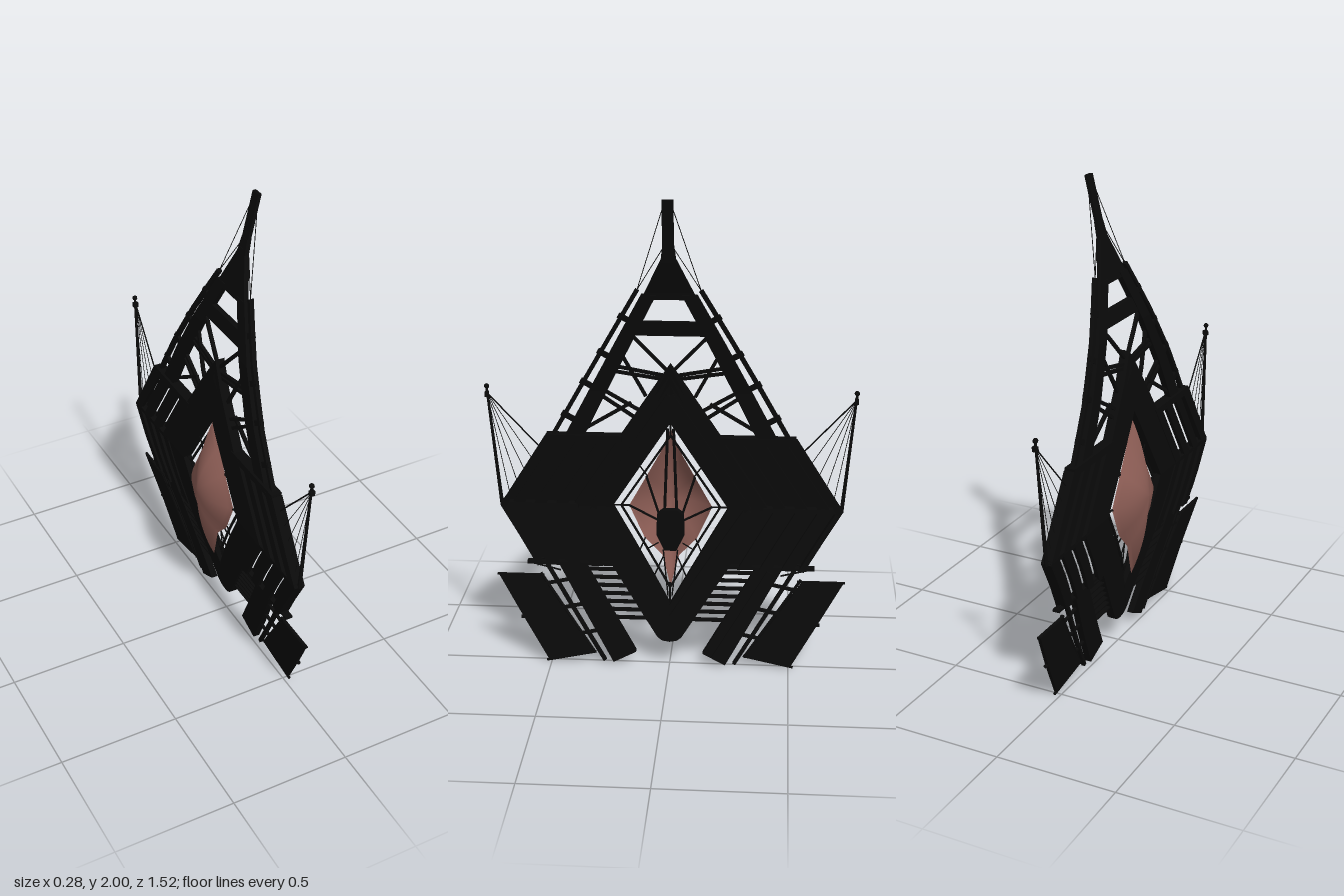
import * as THREE from 'three';

const dark = new THREE.MeshStandardMaterial({ color: 0x0a0a0a, flatShading: true });
const sailMat = new THREE.MeshStandardMaterial({ color: 0x8c5d55, side: THREE.DoubleSide });

// Bowed profile of the whole structure: depth x for a height y
const bow = [[0, 0.022], [0.2, -0.002], [0.4, -0.034], [0.55, -0.052], [0.7, -0.06], [1, -0.056],
  [1.2, -0.045], [1.4, -0.018], [1.6, 0.027], [1.75, 0.068], [2, 0.128]];
function depth(y) {
  let i = 0;
  while (i < bow.length - 2 && y > bow[i + 1][0]) i++;
  const [y0, x0] = bow[i], [y1, x1] = bow[i + 1];
  return x0 + (x1 - x0) * (y - y0) / (y1 - y0);
}

export function createModel() {
  const root = new THREE.Group();
  const mix = (a, b, t) => a + (b - a) * t;

  function add(name, geo, mat = dark) {
    const m = new THREE.Mesh(geo, mat);
    m.name = name;
    root.add(m);
    return m;
  }

  // Four-cornered plate given as [z, y] corners, bent along the bow
  function plate(name, a, b, c, d, t = 0.03, off = 0) {
    const q = [a, b, c, d];
    let area = 0;
    q.forEach((p, i) => { const n = q[(i + 1) % 4]; area += p[0] * n[1] - n[0] * p[1]; });
    if (area < 0) [b, d] = [d, b];
    const g = new THREE.BoxGeometry(1, 1, 1, 1, 6, 6), p = g.attributes.position;
    for (let i = 0; i < p.count; i++) {
      const u = p.getZ(i) + 0.5, v = p.getY(i) + 0.5;
      const z = mix(mix(a[0], b[0], u), mix(d[0], c[0], u), v);
      const y = mix(mix(a[1], b[1], u), mix(d[1], c[1], u), v);
      p.setXYZ(i, depth(y) + off + p.getX(i) * t, y, z);
    }
    g.computeVertexNormals();
    return add(name, g);
  }

  // Flat bar of width w between two [z, y] points
  function bar(name, a, b, w, t = w, off = 0) {
    const dz = b[0] - a[0], dy = b[1] - a[1], l = Math.hypot(dz, dy);
    const n = [-dy / l * w / 2, dz / l * w / 2];
    return plate(name, [a[0] - n[0], a[1] - n[1]], [b[0] - n[0], b[1] - n[1]],
      [b[0] + n[0], b[1] + n[1]], [a[0] + n[0], a[1] + n[1]], t, off);
  }

  // Round straight rod between [z, y, depth offset] points
  function rod(name, a, b, r, r2 = r) {
    const p = new THREE.Vector3(depth(a[1]) + (a[2] || 0), a[1], a[0]);
    const q = new THREE.Vector3(depth(b[1]) + (b[2] || 0), b[1], b[0]);
    const d = q.clone().sub(p);
    const m = add(name, new THREE.CylinderGeometry(r2, r, d.length(), 6));
    m.position.copy(p).add(q).multiplyScalar(0.5);
    m.quaternion.setFromUnitVectors(new THREE.Vector3(0, 1, 0), d.normalize());
  }

  // Spire, apex gusset and crossbeam
  plate('spire', [-0.023, 1.74], [0.023, 1.74], [0.022, 2], [-0.022, 2], 0.014);
  plate('apexGusset', [-0.11, 1.59], [0.11, 1.59], [0.02, 1.78], [-0.02, 1.78], 0.02);
  plate('spireCollar', [-0.034, 1.72], [0.034, 1.72], [0.022, 1.82], [-0.022, 1.82], 0.018);
  plate('crossbeam', [-0.17, 1.435], [0.17, 1.435], [0.15, 1.495], [-0.15, 1.495], 0.022);

  for (const s of [1, -1]) {
    const P = (z, y, o) => [z * s, y, o];

    // Truss leg with its outer rail and brackets
    plate('trussLeg', P(0.05, 1.61), P(0.11, 1.61), P(0.44, 0.98), P(0.36, 0.98), 0.026);
    bar('outerRail', P(0.125, 1.63), P(0.49, 0.98), 0.017, 0.018);
    for (const t of [0.18, 0.42, 0.62, 0.84]) {
      const z = mix(0.125, 0.49, t), y = mix(1.63, 0.98, t);
      bar('railBracket', P(z + 0.012, y + 0.007), P(z - 0.05, y - 0.028), 0.022, 0.014);
    }
    rod('spireStay', P(0.012, 1.99), P(0.125, 1.63), 0.0016);
    rod('spireStay', P(0.012, 1.82), P(0.125, 1.63), 0.0016);

    // Truss braces
    const braces = [[0.15, 1.43, 0.01, 1.28], [0.26, 1.305, 0.03, 1.262], [0.25, 1.28, 0.03, 1.245],
      [0.2, 1.36, 0.1, 1.17], [0.3, 1.21, 0.13, 1.11], [0.31, 1.19, 0.15, 1.08], [0.34, 1.03, 0.16, 1.14]];
    for (const [z0, y0, z1, y1] of braces) bar('trussBrace', P(z0, y0), P(z1, y1), 0.013);

    // Diamond frame around the opening
    plate('upperFrameArm', P(0, 1.06), P(0.24, 0.69), P(0.405, 0.69), P(0, 1.31), 0.04);
    plate('lowerFrameArm', P(0, 0.27), P(0.05, 0.13), P(0.405, 0.69), P(0.24, 0.69), 0.036);
    plate('frameKeel', P(0, 0.27), P(0, 0.11), P(0.03, 0.115), P(0.05, 0.13), 0.034);
    bar('frameRib', P(0, 1.18), P(0.32, 0.69), 0.03, 0.02, 0.02);
    bar('frameRib', P(0, 0.2), P(0.32, 0.69), 0.03, 0.02, 0.02);

    // Wing of overlapping chevron slats, staggered in depth
    const n = 7;
    for (let i = 0; i < n; i++) {
      const z0 = mix(0.385, 0.655, i / (n - 1)), z1 = z0 + 0.05;
      const off = (i % 2 ? 0.013 : -0.015), top = i === n - 1 ? 0.985 : 1;
      plate('upperWingSlat', P(z0, 0.69), P(z1, 0.69), P(z1 - 0.2, top), P(z0 - 0.2, top), 0.016, off);
      plate('lowerWingSlat', P(z0, 0.69), P(z1, 0.69), P(z1 - 0.15, 0.43), P(z0 - 0.15, 0.43), 0.016, off);
    }
    bar('wingTopBeam', P(0.2, 0.985), P(0.51, 0.985), 0.03, 0.045);
    bar('wingMiddleBeam', P(0.38, 0.69), P(0.7, 0.69), 0.02, 0.045);
    bar('wingUpperEdge', P(0.697, 0.68), P(0.505, 0.985), 0.022, 0.045);
    bar('wingLowerEdge', P(0.697, 0.69), P(0.545, 0.43), 0.022, 0.045);

    // Service deck under the wing
    bar('deckBeam', P(0.24, 0.435), P(0.6, 0.435), 0.012, 0.03);
    rod('deckStrut', P(0.6, 0.433), P(0.46, 0.4), 0.004);
    rod('deckStrut', P(0.6, 0.437), P(0.5, 0.455), 0.004);

    // Sloping leg, ladder rungs and side rail
    plate('lowerLeg', P(0.36, 0.44), P(0.47, 0.44), P(0.235, 0.012), P(0.14, 0.06), 0.028);
    bar('legRidge', P(0.415, 0.42), P(0.19, 0.045), 0.025, 0.012, 0.016);
    for (let y = 0.205; y < 0.42; y += 0.034)
      bar('ladderRung', P(0.03 + (y - 0.13) * 0.62, y), P(0.16 + (y - 0.06) * 0.6, y), 0.009, 0.02);
    bar('sideRail', P(0.52, 0.43), P(0.272, 0.015), 0.014, 0.016);
    for (const t of [0.2, 0.45, 0.72]) {
      const z = mix(0.52, 0.272, t), y = mix(0.43, 0.015, t);
      bar('railLink', P(z - 0.07, y + 0.02), P(z + 0.07, y - 0.01), 0.012);
    }

    // Hanging panel with edge rods
    plate('hangingPanel', P(0.72, 0.375), P(0.55, 0.375), P(0.32, 0.05), P(0.51, 0.012), 0.014);
    rod('panelTopRod', P(0.728, 0.377), P(0.53, 0.377), 0.006);
    rod('panelBottomRod', P(0.52, 0.007), P(0.31, 0.05), 0.006);
    rod('panelInnerRod', P(0.545, 0.385), P(0.315, 0.045), 0.007);
    rod('panelPeg', P(0.6, 0.195), P(0.628, 0.195), 0.008);

    // Outrigger mast with ball and fan of stays
    rod('outrigger', P(0.703, 0.68), P(0.748, 1.19, -0.003), 0.008, 0.005);
    const ball = add('outriggerBall', new THREE.SphereGeometry(0.011, 8, 6));
    ball.position.set(depth(1.19) - 0.003, 1.198, 0.748 * s);
    bar('outriggerCollar', P(0.74, 1.165), P(0.755, 1.165), 0.02);
    for (let i = 0; i < 5; i++)
      rod('outriggerStay', P(0.747, 1.17), P(mix(0.67, 0.54, i / 4), mix(0.73, 0.94, i / 4)), i === 4 ? 0.003 : 0.0014);

    // Inner rails and ropes holding the sail
    bar('openingRail', P(0, 1.0), P(0.205, 0.69), 0.008);
    bar('openingRail', P(0, 0.34), P(0.205, 0.69), 0.008);
    rod('sailRope', P(0.25, 0.69), P(0.17, 0.69), 0.004);
    rod('sailRope', P(0.13, 0.87), P(0.095, 0.82), 0.003);
    rod('sailRope', P(0.13, 0.49), P(0.105, 0.55), 0.003);
    rod('sailRope', P(0.07, 0.38), P(0.03, 0.47), 0.003);

    // Ribs spreading from the pod
    rod('podRib', P(0.025, 0.67), P(0.012, 1.03), 0.006);
    rod('podRib', P(0.05, 0.66), P(0.1, 0.82), 0.005);
    rod('podRib', P(0.055, 0.63), P(0.172, 0.69), 0.005);
    rod('podRib', P(0.05, 0.53), P(0.1, 0.5), 0.003);
    rod('podRib', P(0.03, 0.5), P(0.008, 0.3), 0.003);
  }
  rod('topRope', [0, 1.08], [0, 1.0], 0.004);
  rod('bottomRope', [0, 0.25], [0, 0.36], 0.004);

  // Six-sided pod in the middle of the opening
  const pod = new THREE.Shape([[0.055, 0.66], [0.03, 0.68], [-0.03, 0.68], [-0.055, 0.66], [-0.058, 0.57],
    [-0.025, 0.5], [0.025, 0.5], [0.058, 0.57]].map(([z, y]) => new THREE.Vector2(z, y)));
  const podMesh = add('pod', new THREE.ExtrudeGeometry(pod, { depth: 0.03, bevelEnabled: false }));
  podMesh.rotation.y = -Math.PI / 2;
  podMesh.position.x = -0.035;

  // Domed sail: star outline scaled in rings toward the bulge
  const half = [[0, 1.03], [0.045, 0.92], [0.1, 0.82], [0.172, 0.69], [0.11, 0.55], [0.035, 0.47], [0, 0.33]];
  const rim = [...half, ...half.slice(1, -1).reverse().map(([z, y]) => [-z, y])];
  const rings = 10, pos = [], idx = [], m = rim.length;
  for (let r = 0; r <= rings; r++) {
    const k = r / rings;
    for (const [z, y] of rim) pos.push(-0.06 - 0.08 * (1 - k * k), 0.7 + (y - 0.7) * k, z * k);
  }
  for (let r = 0; r < rings; r++) for (let i = 0; i < m; i++) {
    const a = r * m + i, b = r * m + (i + 1) % m;
    idx.push(a, b, a + m, b, b + m, a + m);
  }
  const sail = new THREE.BufferGeometry();
  sail.setAttribute('position', new THREE.Float32BufferAttribute(pos, 3));
  sail.setIndex(idx);
  sail.computeVertexNormals();
  add('sail', sail, sailMat);
  return root;
}
